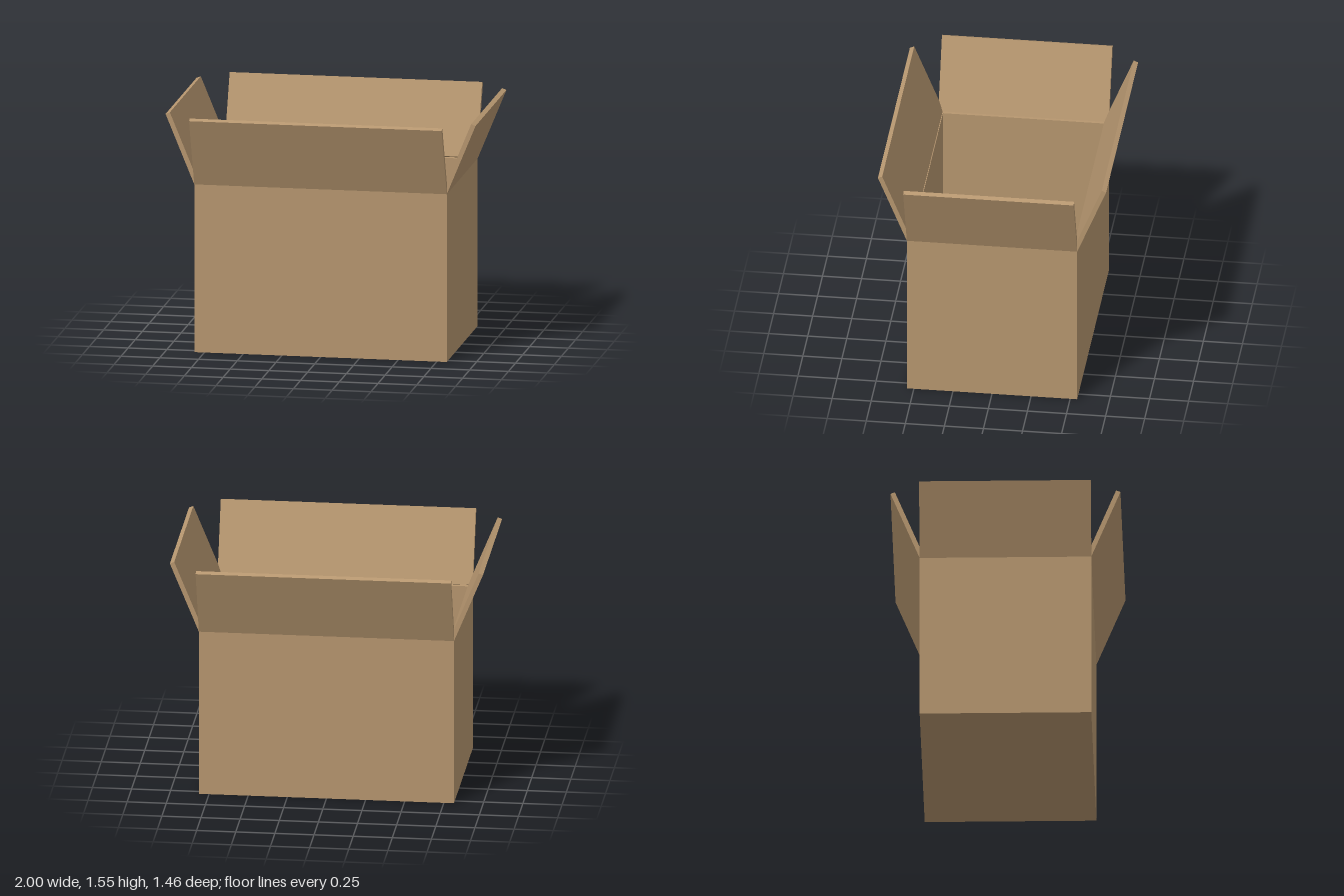
import * as THREE from 'three';

const W = 1.63, D = 1.09, H = 1.09, T = 0.03; // outer width, depth, wall height, board thickness
const FLAP = 0.487, TILT = 0.39;              // flap length and outward lean

export function createModel() {
  const group = new THREE.Group();
  const cardboard = new THREE.MeshStandardMaterial({ color: 0xb6966f });
  cardboard.name = 'cardboard';

  const add = (name, geometry, parent = group) => {
    const mesh = new THREE.Mesh(geometry, cardboard);
    mesh.name = name;
    parent.add(mesh);
    return mesh;
  };

  const rectangle = (Type, w, d) => new Type([
    new THREE.Vector2(-w / 2, -d / 2), new THREE.Vector2(w / 2, -d / 2),
    new THREE.Vector2(w / 2, d / 2), new THREE.Vector2(-w / 2, d / 2),
  ]);

  // Four walls as one hollow rectangular sleeve
  const outline = rectangle(THREE.Shape, W, D);
  outline.holes.push(rectangle(THREE.Path, W - 2 * T, D - 2 * T));
  const walls = new THREE.ExtrudeGeometry(outline, { depth: H, bevelEnabled: false });
  add('walls', walls.rotateX(-Math.PI / 2));

  // Floor board inside the sleeve
  add('floor', new THREE.BoxGeometry(W - 2 * T, T, D - 2 * T).translate(0, T / 2, 0));

  // Open flaps, each hinged on the outer top edge of its wall
  const flaps = [
    ['frontFlap', W, D / 2, 0],
    ['leftFlap', D, W / 2, Math.PI / 2],
    ['backFlap', W, D / 2, Math.PI],
    ['rightFlap', D, W / 2, -Math.PI / 2],
  ];
  for (const [name, width, distance, turn] of flaps) {
    const side = new THREE.Group();
    side.name = name + 'Hinge';
    side.rotation.y = turn;
    const flap = add(name, new THREE.BoxGeometry(width, FLAP, T).translate(0, FLAP / 2, -T / 2), side);
    flap.position.set(0, H, distance);
    flap.rotation.x = TILT;
    group.add(side);
  }
  return group;
}
